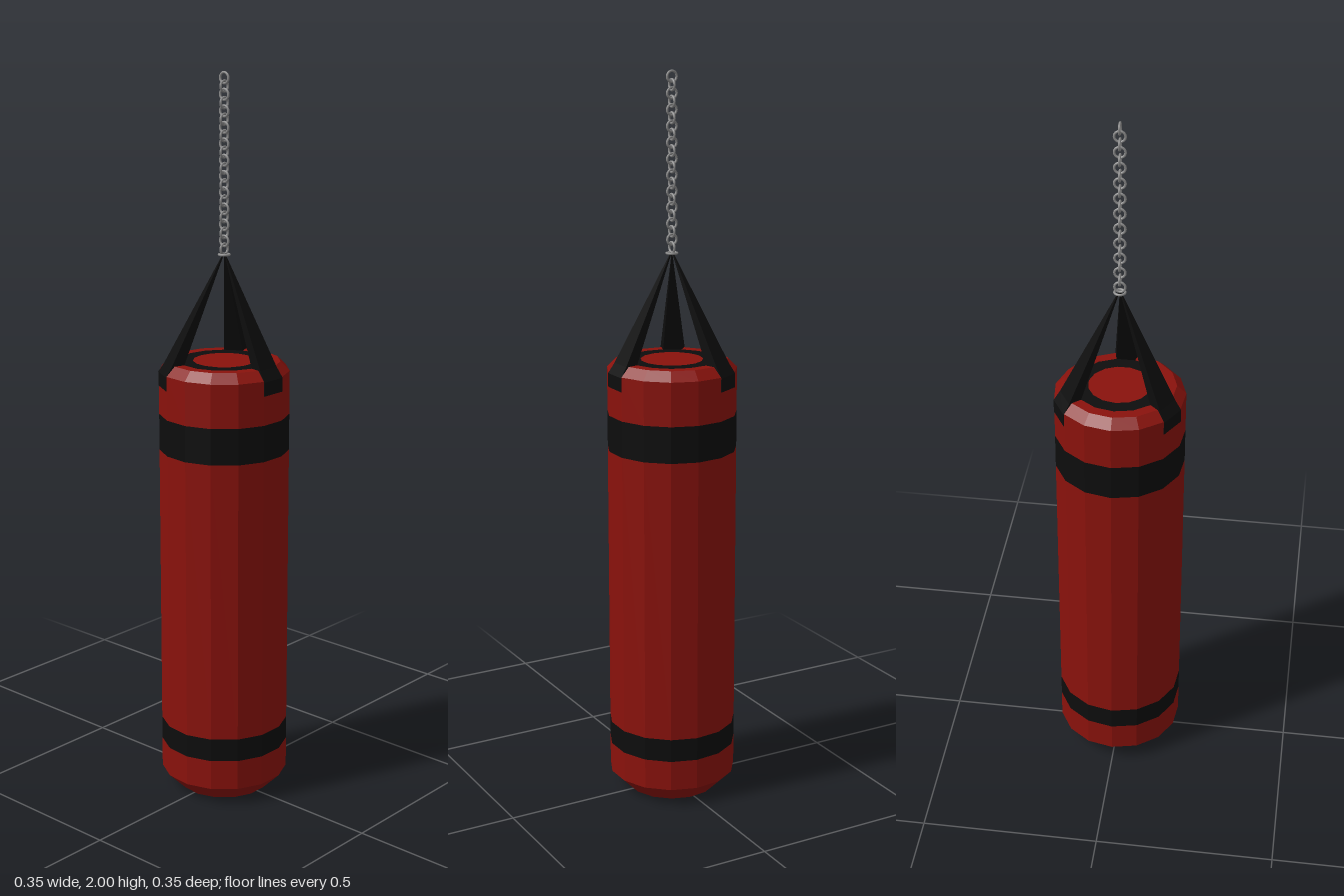
import * as THREE from 'three';

const SIDES = 15;
const red = new THREE.MeshStandardMaterial({ color: 0x8a120c, flatShading: true });
const black = new THREE.MeshStandardMaterial({ color: 0x0d0d0d, flatShading: true });
const steel = new THREE.MeshStandardMaterial({ color: 0x8a8a8a });

// One faceted zone of the bag; points are [radius, y] going up the outside
function zone(name, material, points) {
  const profile = points.map(([r, y]) => new THREE.Vector2(r, y));
  const mesh = new THREE.Mesh(new THREE.LatheGeometry(profile, SIDES, Math.PI), material);
  mesh.name = name;
  return mesh;
}

// Wedge-shaped strap lofted through [inner radius, outer radius, y] sections
function strapGeometry() {
  const sections = [[0, 0.003, 1.525], [0.12, 0.157, 1.235], [0.165, 0.1745, 1.208], [0.168, 0.1745, 1.17]];
  const spread = Math.tan(Math.PI / SIDES); // as wide as one facet of the bag
  const positions = [];
  const index = [];
  for (const [inner, outer, y] of sections) {
    const wi = inner * spread, wo = outer * spread;
    positions.push(-wo, y, outer, wo, y, outer, wi, y, inner, -wi, y, inner);
  }
  for (let s = 0; s < sections.length - 1; s++) {
    for (let k = 0; k < 4; k++) {
      const a = s * 4 + k, b = s * 4 + (k + 1) % 4;
      index.push(a, a + 4, b + 4, a, b + 4, b);
    }
  }
  const e = (sections.length - 1) * 4;
  index.push(e, e + 3, e + 2, e, e + 2, e + 1);
  const geometry = new THREE.BufferGeometry();
  geometry.setAttribute('position', new THREE.Float32BufferAttribute(positions, 3));
  geometry.setIndex(index);
  geometry.computeVertexNormals();
  return geometry;
}

export function createModel() {
  const model = new THREE.Group();
  model.name = 'punchingBag';
  const R = 0.177;

  // Bag with flush bands
  const bag = new THREE.Group();
  bag.name = 'bag';
  bag.add(
    zone('bottomCap', black, [[0, 0], [0.127, 0]]),
    zone('lowerBody', red, [[0.127, 0], [R, 0.05], [R, 0.135]]),
    zone('lowerBand', black, [[R, 0.135], [R, 0.2]]),
    zone('middleBody', red, [[R, 0.2], [R, 0.99]]),
    zone('upperBand', black, [[R, 0.99], [R, 1.09]]),
    zone('upperBody', red, [[R, 1.09], [R, 1.21], [0.152, 1.235], [0.123, 1.235]]),
    zone('topRing', black, [[0.123, 1.235], [0.085, 1.235]]),
    zone('topCentre', red, [[0.085, 1.235], [0, 1.235]])
  );
  model.add(bag);

  // Three straps meeting under the chain
  const strap = strapGeometry();
  for (let i = 0; i < 3; i++) {
    const mesh = new THREE.Mesh(strap, black);
    mesh.name = 'strap';
    mesh.rotation.y = i * Math.PI * 2 / 3;
    model.add(mesh);
  }

  // Chain of round links, each turned a quarter from the last
  const chain = new THREE.Group();
  chain.name = 'chain';
  const link = new THREE.TorusGeometry(0.0142, 0.0033, 8, 16);
  for (let i = 0; i < 22; i++) {
    const mesh = new THREE.Mesh(link, steel);
    mesh.name = 'chainLink';
    mesh.position.y = 1.9825 - i * 0.0212;
    mesh.rotation.y = i % 2 ? 0 : Math.PI / 2;
    chain.add(mesh);
  }
  // Flat ring that holds the straps
  const ring = new THREE.Mesh(link, steel);
  ring.name = 'strapRing';
  ring.position.y = 1.522;
  ring.rotation.x = Math.PI / 2;
  chain.add(ring);
  model.add(chain);

  return model;
}
